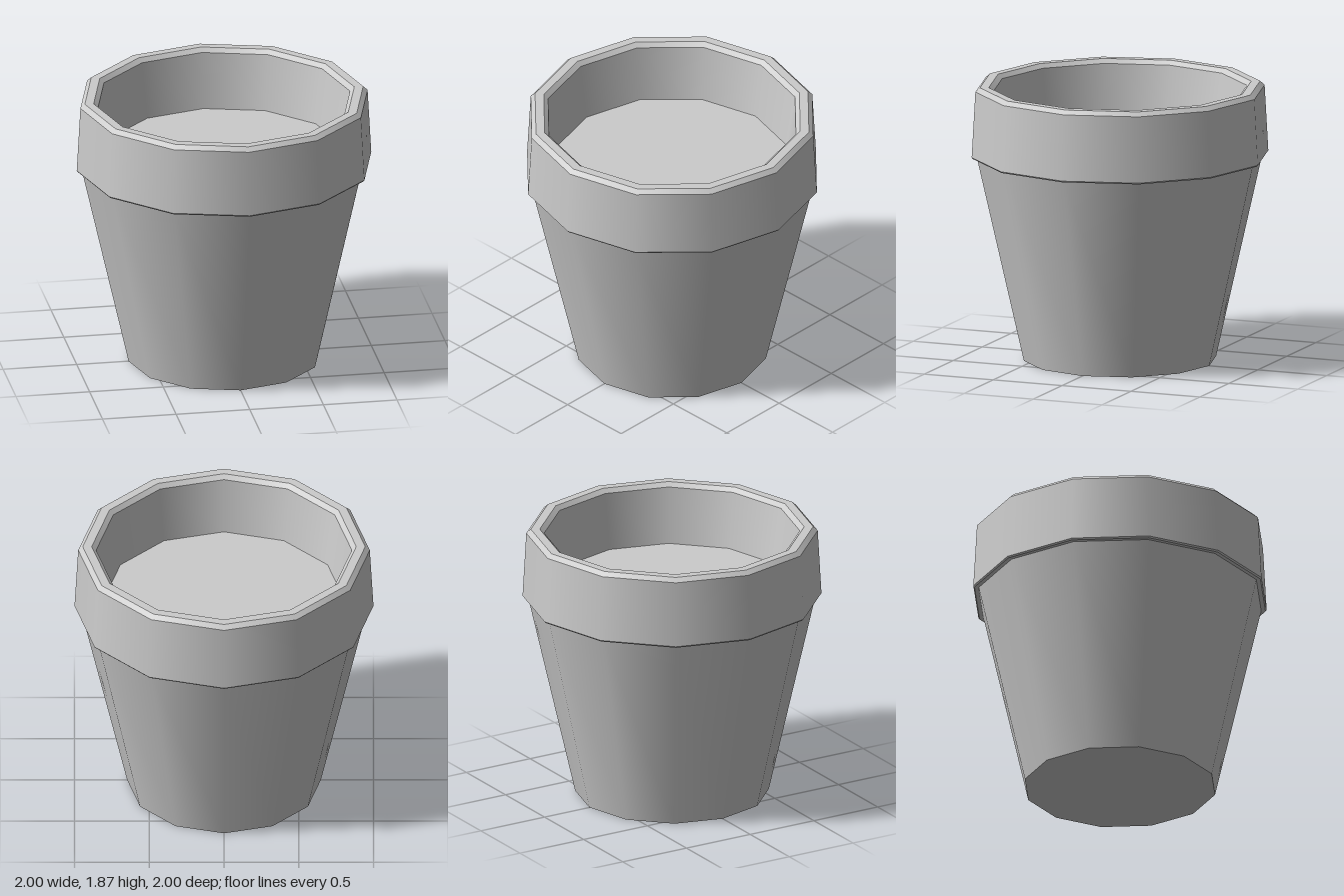
import * as THREE from 'three';

const SIDES = 12;

export function createModel() {
  const model = new THREE.Group();
  model.name = 'flowerPot';
  const material = new THREE.MeshStandardMaterial({ color: 0xcccccc });

  // One lathe per band: smooth around the pot, sharp between bands
  function addBands(name, profile) {
    const group = new THREE.Group();
    group.name = name;
    for (let i = 0; i < profile.length - 1; i++) {
      const points = [profile[i], profile[i + 1]].map(([r, y]) => new THREE.Vector2(r, y));
      const band = new THREE.Mesh(new THREE.LatheGeometry(points, SIDES), material);
      band.name = `${name}Band${i + 1}`;
      group.add(band);
    }
    model.add(group);
  }

  // Closed base and tapered wall
  addBands('body', [[0, 0], [0.648, 0], [0.963, 1.385]]);

  // Overhanging collar: underside, outer face, bevelled lip, inner wall
  addBands('rim', [
    [0.963, 1.385], [0.992, 1.385], [1.0, 1.395], [0.975, 1.842], [0.945, 1.87],
    [0.885, 1.87], [0.855, 1.842], [0.8, 1.46],
  ]);

  // Flat soil surface inside the pot
  addBands('soil', [[0.8, 1.46], [0, 1.46]]);

  return model;
}
